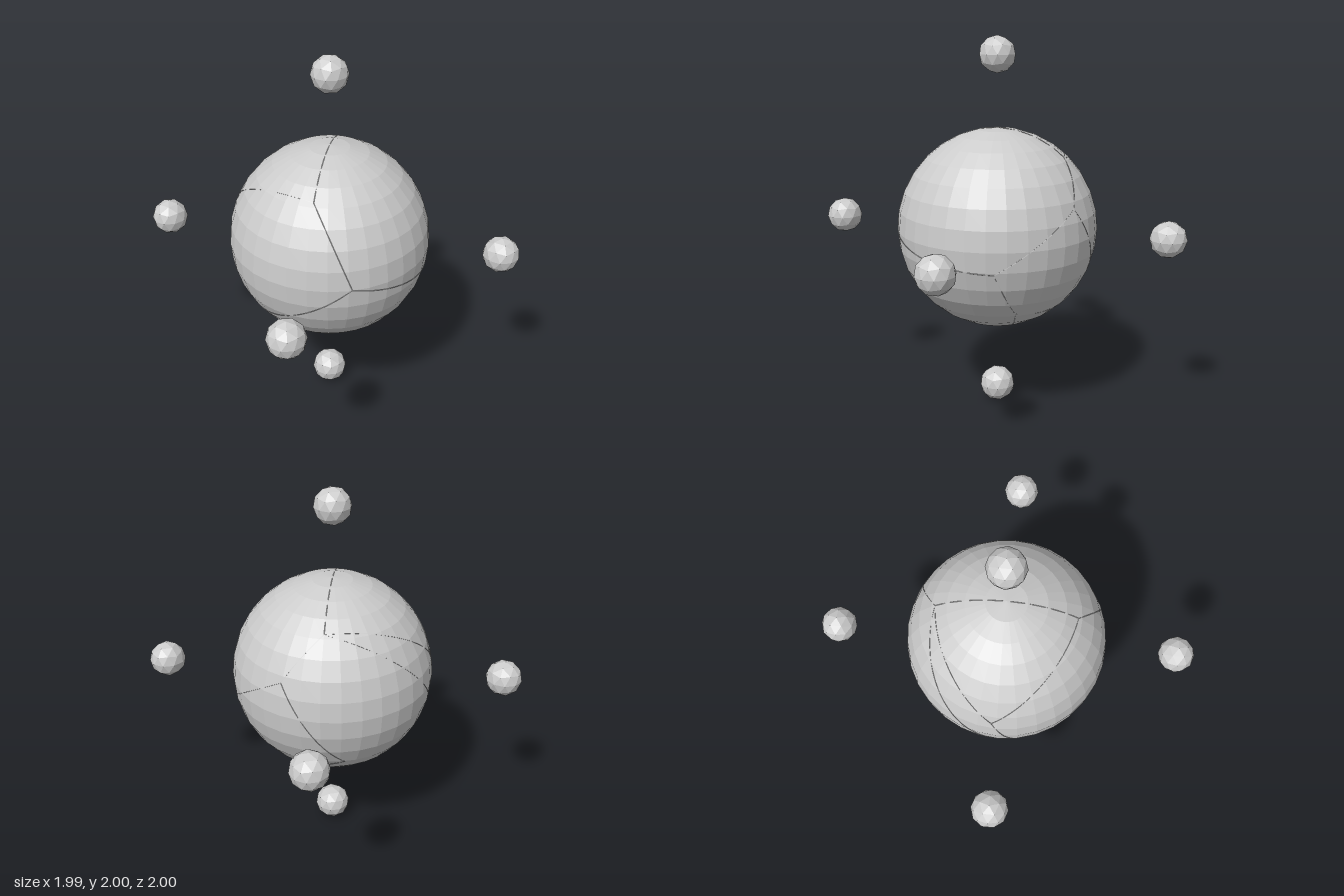
import * as THREE from 'three';

const CENTRE_Y = 1;
const R = 0.53;          // main sphere radius
const ORBIT = 0.904;     // distance of the small spheres
const SMALL_R = 0.096;

// Great-circle arc between two directions, laid on the sphere surface
function surfaceArc(a, b, radius) {
  const from = new THREE.Vector3(...a).normalize();
  const to = new THREE.Vector3(...b).normalize();
  const turn = new THREE.Quaternion().setFromUnitVectors(from, to);
  const points = [];
  for (let i = 0; i <= 20; i++) {
    const q = new THREE.Quaternion().slerp(turn, i / 20);
    points.push(from.clone().applyQuaternion(q).multiplyScalar(radius));
  }
  return new THREE.CatmullRomCurve3(points);
}

export function createModel() {
  const model = new THREE.Group();
  model.name = 'sphereWithSatellites';
  const material = new THREE.MeshStandardMaterial({ color: 0xcccccc, flatShading: true });

  const add = (name, geometry, x = 0, y = 0, z = 0) => {
    const mesh = new THREE.Mesh(geometry, material);
    mesh.name = name;
    mesh.position.set(x, CENTRE_Y + y, z);
    model.add(mesh);
  };

  // Faceted central sphere
  add('centralSphere', new THREE.SphereGeometry(R, 32, 16));

  // Six small faceted spheres on the axes, one vertex pointing up
  const small = new THREE.IcosahedronGeometry(SMALL_R, 1);
  small.rotateZ(-Math.atan(2 / (1 + Math.sqrt(5))));
  add('topSphere', small, 0, ORBIT, 0);
  add('bottomSphere', small, 0, -ORBIT, 0);
  add('leftSphere', small, ORBIT, 0, 0);
  add('rightSphere', small, -ORBIT, 0, 0);
  add('frontSphere', small, 0, 0, ORBIT);
  add('backSphere', small, 0, 0, -ORBIT);

  // Hairline seams dividing the central sphere into curved panels
  const corner = {
    topFront: [0, 0.395, 0.36],
    topBack: [0, 0.395, -0.36],
    front: [0.22, 0, 0.485],
    back: [0.2, 0.17, -0.46],
    left: [0.5, -0.115, -0.14],
    lowLeft: [0.33, -0.363, -0.2],
    lowBack: [-0.11, -0.3, -0.42],
    right: [-0.51, 0.146, -0.03],
    lowRight: [-0.4, -0.31, 0.16],
  };
  const seams = [
    ['topFront', 'topBack'], ['topFront', 'front'], ['topFront', 'right'],
    ['topBack', 'back'], ['topBack', 'right'], ['topBack', 'lowRight'],
    ['front', 'left'], ['front', 'lowRight'], ['back', 'left'],
    ['back', 'lowBack'], ['left', 'lowLeft'], ['lowLeft', 'lowBack'],
    ['lowLeft', 'lowRight'], ['right', 'lowRight'],
  ];
  for (const [a, b] of seams) {
    const arc = surfaceArc(corner[a], corner[b], R - 0.002);
    add('panelSeam', new THREE.TubeGeometry(arc, 40, 0.0015, 4));
  }

  return model;
}
